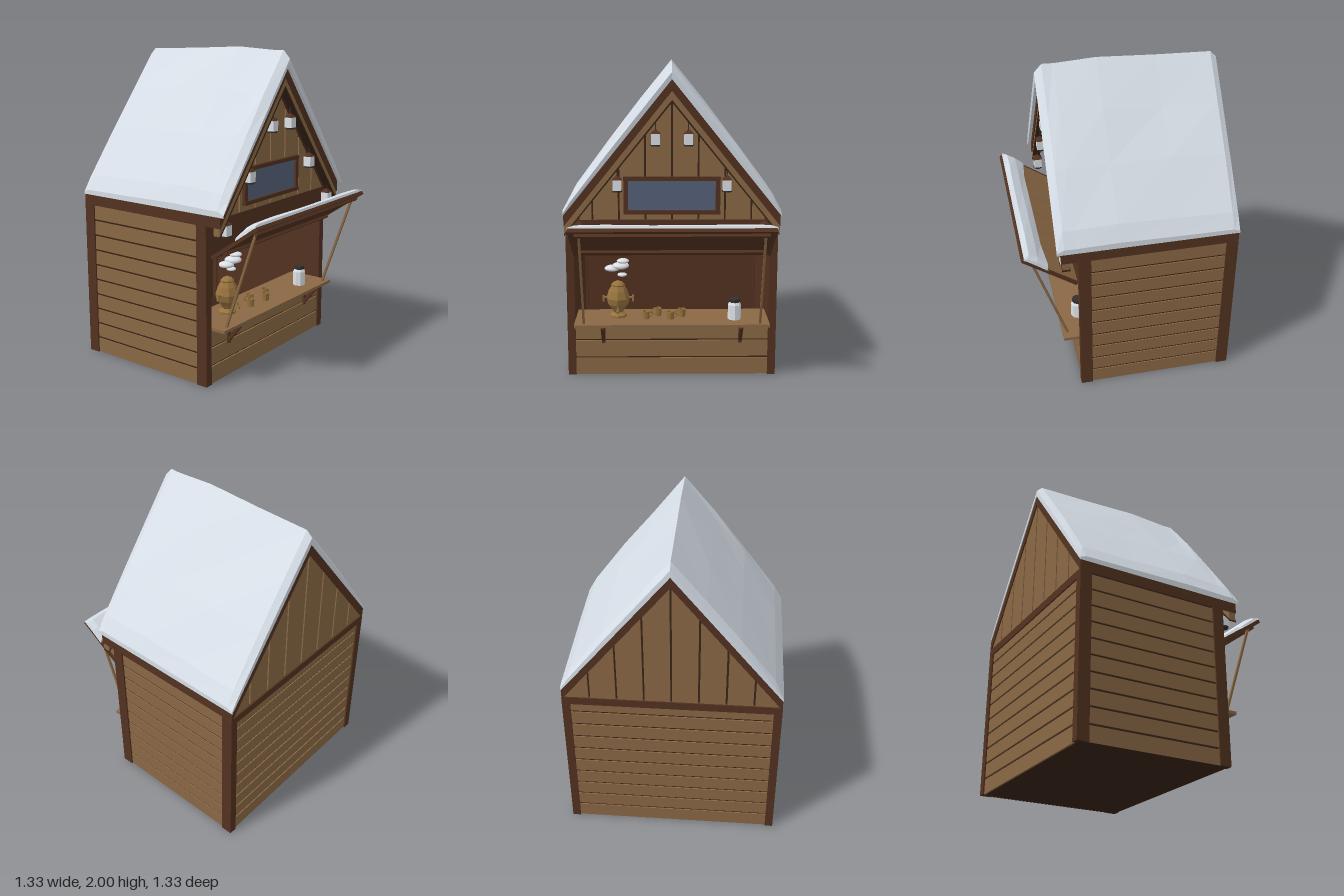
import * as THREE from 'three';

const mat = (name, color) => {
  const m = new THREE.MeshStandardMaterial({ color });
  m.name = name;
  return m;
};

export function createModel() {
  const lightWood = mat('light wood', 0x8a6845);
  const darkWood = mat('dark wood', 0x533220);
  const gapWood = mat('shadow gap wood', 0x3a2517);
  const snow = mat('snow', 0xdfe7f0);
  const glass = mat('sign panel slate', 0x56627a);
  const brass = mat('brass', 0x98733f);
  const white = mat('white enamel', 0xe6ebf0);
  const iron = mat('iron', 0x33302e);

  const root = new THREE.Group();
  root.name = 'marketStall';

  const add = (parent, name, geo, material, x = 0, y = 0, z = 0) => {
    const m = new THREE.Mesh(geo, material);
    m.name = name;
    m.position.set(x, y, z);
    parent.add(m);
    return m;
  };
  const group = (name, parent = root, x = 0, y = 0, z = 0) => {
    const g = new THREE.Group();
    g.name = name;
    g.position.set(x, y, z);
    parent.add(g);
    return g;
  };
  // Box given by its limits on each axis
  const box = (parent, name, material, x0, x1, y0, y1, z0, z1) =>
    add(parent, name, new THREE.BoxGeometry(x1 - x0, y1 - y0, z1 - z0), material,
      (x0 + x1) / 2, (y0 + y1) / 2, (z0 + z1) / 2);
  // Square bar between two points
  const bar = (parent, name, material, a, b, w, d = w) => {
    const p = new THREE.Vector3(...a), q = new THREE.Vector3(...b);
    const m = add(parent, name, new THREE.BoxGeometry(w, p.distanceTo(q), d), material);
    m.position.copy(p).lerp(q, 0.5);
    m.quaternion.setFromUnitVectors(new THREE.Vector3(0, 1, 0), q.sub(p).normalize());
    return m;
  };
  const flat = (geo) => {
    const g = geo.index ? geo.toNonIndexed() : geo;
    g.computeVertexNormals();
    return g;
  };
  // Flat outline extruded from z0 to z1
  const slab = (parent, name, material, pts, z0, z1) => add(parent, name,
    new THREE.ExtrudeGeometry(new THREE.Shape(pts.map((p) => new THREE.Vector2(...p))),
      { depth: z1 - z0, bevelEnabled: false }), material, 0, 0, z0);
  // Faceted skin over rows of points (front to back, left to right)
  const loft = (rows) => {
    const n = rows[0].length, index = [];
    for (let r = 0; r < rows.length - 1; r++) {
      for (let c = 0; c < n - 1; c++) {
        const a = r * n + c, b = a + 1, d = a + n;
        index.push(a, b, d, b, d + 1, d);
      }
    }
    const g = new THREE.BufferGeometry();
    g.setAttribute('position', new THREE.Float32BufferAttribute(rows.flat(2), 3));
    g.setIndex(index);
    return flat(g);
  };
  const lathe = (pts, sides) =>
    flat(new THREE.LatheGeometry(pts.map((p) => new THREE.Vector2(...p)), sides));
  const roofY = (x, top = 1.82) => top - 1.235 * Math.abs(x);

  // Floor, ceiling, hollow walls and corner posts
  const body = group('body');
  box(body, 'floor', gapWood, -0.655, 0.655, 0, 0.02, -0.655, 0.315);
  box(body, 'ceiling', darkWood, -0.64, 0.64, 0.98, 1.0, -0.645, 0.3);
  box(body, 'backWall', darkWood, -0.64, 0.64, 0.02, 1.0, -0.645, -0.625);
  box(body, 'frontWall', gapWood, -0.64, 0.64, 0.02, 0.35, 0.285, 0.305);
  for (const s of [-1, 1]) {
    box(body, 'sideWall', darkWood, s * 0.6375 - 0.0075, s * 0.6375 + 0.0075, 0.02, 1.0, -0.645, 0.305);
    for (const z of [-0.628, 0.289]) {
      box(body, 'cornerPost', darkWood, s * 0.64 - 0.025, s * 0.64 + 0.025, 0, 1.01, z - 0.037, z + 0.037);
    }
  }

  // Horizontal siding with dark gaps
  const siding = group('siding');
  for (let i = 0; i < 10; i++) {
    const y0 = i * 0.1 + (i ? 0.008 : 0), y1 = i * 0.1 + 0.095;
    for (const s of [-1, 1]) {
      box(siding, 'sidePlank', lightWood, s * 0.65 - 0.006, s * 0.65 + 0.006, y0, y1, -0.592, 0.253);
      box(siding, 'sideGap', gapWood, s * 0.6465 - 0.003, s * 0.6465 + 0.003, y1 - 0.002, y1 + 0.015, -0.592, 0.253);
    }
    box(siding, 'backPlank', lightWood, -0.616, 0.616, y0, y1, -0.656, -0.644);
    box(siding, 'backGap', gapWood, -0.616, 0.616, y1 - 0.002, y1 + 0.015, -0.649, -0.643);
  }
  for (const [y0, y1] of [[0, 0.108], [0.12, 0.226], [0.238, 0.35]]) {
    box(siding, 'frontPlank', lightWood, -0.616, 0.616, y0, y1, 0.302, 0.316);
  }
  box(body, 'frontLintel', darkWood, -0.66, 0.66, 0.8, 1.02, 0.29, 0.327);
  box(body, 'backLintel', darkWood, -0.66, 0.66, 0.965, 1.015, -0.665, -0.63);

  // Gable walls with vertical planks
  for (const [name, z0, z1, skin] of [['frontGable', 0.29, 0.308, 0.308], ['backGable', -0.645, -0.625, -0.657]]) {
    const g = group(name);
    slab(g, 'gableBacking', gapWood, [[-0.655, 1], [0.655, 1], [0.655, roofY(0.655)], [0, 1.83], [-0.655, roofY(0.655)]], z0, z1);
    for (const s of [-1, 1]) {
      for (let i = 0; i < 4; i++) {
        const a = i * 0.165 + 0.006, b = i === 3 ? 0.655 : (i + 1) * 0.165 - 0.006;
        slab(g, 'gablePlank', lightWood, [[s * a, 1], [s * b, 1], [s * b, roofY(b) + 0.005], [s * a, roofY(a) + 0.005]], skin, skin + 0.012);
      }
    }
  }

  // Framed panel on the front gable
  const sign = group('gablePanel');
  box(sign, 'panel', glass, -0.28, 0.28, 1.075, 1.275, 0.318, 0.327);
  for (const y of [1.07, 1.28]) box(sign, 'panelRail', darkWood, -0.3, 0.3, y - 0.012, y + 0.012, 0.318, 0.345);
  for (const x of [-0.285, 0.285]) box(sign, 'panelStile', darkWood, x - 0.014, x + 0.014, 1.06, 1.29, 0.318, 0.342);

  // Roof boards and barge boards
  const roof = group('roof');
  slab(roof, 'roofBoards', darkWood,
    [[0.663, 1.0], [0.663, 1.072], [0, 1.89], [-0.663, 1.072], [-0.663, 1.0], [0, 1.82]], -0.665, 0.43);
  for (const s of [-1, 1]) {
    slab(roof, 'bargeBoard', lightWood, [[0, 1.825], [s * 0.66, 1.01], [s * 0.66, 0.95], [0, 1.765]], 0.378, 0.424);
    slab(roof, 'bargeTrim', gapWood, [[0, 1.768], [s * 0.66, 0.953], [s * 0.66, 0.94], [0, 1.752]], 0.376, 0.427);
  }

  // Snow blanket: thickness across the slope, scaled along the ridge
  const half = [[1, 0], [1, 0.04], [0.92, 0.075], [0.6, 0.104], [0.3, 0.108]];
  const across = [...half.map(([u, t]) => [-u, t]), [0, 0.108], ...half.slice().reverse()];
  const along = [[0.425, 0], [0.45, 0], [0.456, 0.4], [0.41, 0.88], [0.34, 0.86], [0.08, 1], [-0.28, 0.84], [-0.63, 0.74], [-0.668, 0.4], [-0.67, 0], [-0.66, 0]];
  add(roof, 'roofSnow', loft(along.map(([z, k], r) => across.map(([u, t], c) => {
    const wobble = k > 0.8 && t > 0.1 && u !== 0 ? 0.008 * Math.sin(r * 2.3 + c * 1.7) : 0;
    return [u * 0.666, roofY(u * 0.666, 1.89) + t * k + wobble, z];
  }))), snow);

  // Lanterns hung below the barge boards
  for (const s of [-1, 1]) {
    for (const [x, y] of [[0.1, 1.53], [0.335, 1.25], [0.57, 0.97]]) {
      const g = group('lantern', root, s * x, y, 0.4);
      box(g, 'lanternBody', white, -0.026, 0.026, -0.03, 0.035, -0.026, 0.026);
      add(g, 'lanternBase', new THREE.CylinderGeometry(0.03, 0.03, 0.01, 10), iron, 0, -0.035, 0);
      add(g, 'lanternCap', flat(new THREE.CylinderGeometry(0.006, 0.042, 0.025, 4, 1).rotateY(Math.PI / 4)), darkWood, 0, 0.047, 0);
      box(g, 'lanternHook', iron, -0.003, 0.003, 0.055, 0.115, -0.003, 0.003);
    }
  }

  // Raised awning shutter, hinged on the lintel
  const awning = group('awning', root, 0, 0.8, 0.33);
  awning.rotation.x = -0.605;
  box(awning, 'awningUnderside', darkWood, -0.612, 0.612, -0.006, 0.004, 0, 0.392);
  for (let i = 0; i < 6; i++) {
    const x = -0.612 + i * 0.204;
    box(awning, 'awningPlank', lightWood, x + 0.003, x + 0.201, 0.004, 0.011, 0, 0.39);
  }
  for (const s of [-1, 1]) box(awning, 'awningEdge', darkWood, s * 0.611 - 0.006, s * 0.611 + 0.006, -0.01, 0.013, 0, 0.392);
  box(awning, 'awningFrontEdge', darkWood, -0.615, 0.615, -0.01, 0.013, 0.384, 0.396);
  for (const z of [0.075, 0.345]) box(awning, 'awningBatten', darkWood, -0.58, 0.58, -0.024, -0.006, z - 0.012, z + 0.012);
  const snowX = [-0.622, -0.618, -0.58, -0.4, -0.13, 0.13, 0.4, 0.58, 0.618, 0.622];
  const snowRows = [[0.39, 0], [0.394, 0.018], [0.372, 0.034], [0.31, 0.036], [0.25, 0.022], [0.238, 0]];
  add(awning, 'awningSnow', loft(snowRows.map(([z, h], r) => snowX.map((x, c) => {
    const end = Math.abs(x) > 0.62 ? 0 : Math.abs(x) > 0.6 ? 0.6 : 1;
    const back = r > 3 && Math.abs(x) > 0.5 ? 0.02 : 0;
    return [x, 0.011 + h * end + (h > 0.03 ? 0.003 * Math.sin(c * 2 + r) : 0), z - back];
  }))), snow);
  for (const s of [-1, 1]) {
    bar(root, 'awningStrut', lightWood, [s * 0.555, 0.985, 0.605], [s * 0.555, 0.36, 0.39], 0.014);
  }

  // Serving counter and brackets
  const counter = group('counter');
  box(counter, 'counterTop', lightWood, -0.615, 0.615, 0.348, 0.367, 0.1, 0.424);
  for (const x of [-0.437, 0.437]) {
    bar(counter, 'counterBracket', darkWood, [x, 0.345, 0.408], [x, 0.235, 0.322], 0.022);
    box(counter, 'bracketPlate', darkWood, x - 0.011, x + 0.011, 0.215, 0.348, 0.314, 0.328);
  }

  // Samovar with handles, tap and steam
  const samovar = group('samovar', root, -0.345, 0.367, 0.24);
  add(samovar, 'samovarBody', lathe([[0, 0], [0.056, 0], [0.056, 0.014], [0.032, 0.032], [0.045, 0.055], [0.066, 0.085],
    [0.075, 0.125], [0.06, 0.175], [0.042, 0.205], [0.045, 0.213], [0.03, 0.228], [0.01, 0.235], [0, 0.242]], 8), brass);
  for (const s of [-1, 1]) {
    box(samovar, 'handleArm', brass, s * 0.083 - 0.015, s * 0.083 + 0.015, 0.122, 0.132, -0.006, 0.006);
    box(samovar, 'handleGrip', brass, s * 0.095 - 0.006, s * 0.095 + 0.006, 0.1, 0.14, -0.008, 0.008);
  }
  bar(samovar, 'tap', brass, [0, 0.06, 0.045], [0, 0.05, 0.095], 0.014);
  box(samovar, 'tapHandle', brass, -0.004, 0.004, 0.055, 0.085, 0.075, 0.083);
  for (const [x, y, z, r] of [[0.028, 0.28, 0.01, 0.032], [-0.035, 0.325, 0.02, 0.05], [0.02, 0.345, 0.03, 0.055], [0.035, 0.378, 0.04, 0.04]]) {
    add(samovar, 'steamPuff', new THREE.IcosahedronGeometry(r, 1), white, x, y, z).scale.y = 0.4;
  }

  // Cups on the counter
  for (const [x, z, turn] of [[-0.165, 0.29, 0.4], [-0.09, 0.23, 2.8], [-0.01, 0.3, 0], [0.065, 0.245, 3.3]]) {
    const cup = group('cup', root, x, 0.367, z);
    cup.rotation.y = turn;
    add(cup, 'cupBody', lathe([[0, 0], [0.023, 0], [0.026, 0.05], [0.021, 0.05], [0.019, 0.01], [0, 0.01]], 8), brass);
    add(cup, 'cupHandle', new THREE.TorusGeometry(0.014, 0.004, 4, 8), brass, 0.03, 0.026, 0);
  }

  // Enamel jar
  const jar = group('jar', root, 0.4, 0.367, 0.3);
  add(jar, 'jarBody', lathe([[0, 0], [0.042, 0], [0.042, 0.095], [0.032, 0.115], [0, 0.115]], 8), white);
  add(jar, 'jarLid', flat(new THREE.CylinderGeometry(0.034, 0.034, 0.022, 8)), iron, 0, 0.123, 0);

  // Mirrored outlines keep their front faces because shapes are re-wound on extrusion
  return root;
}
